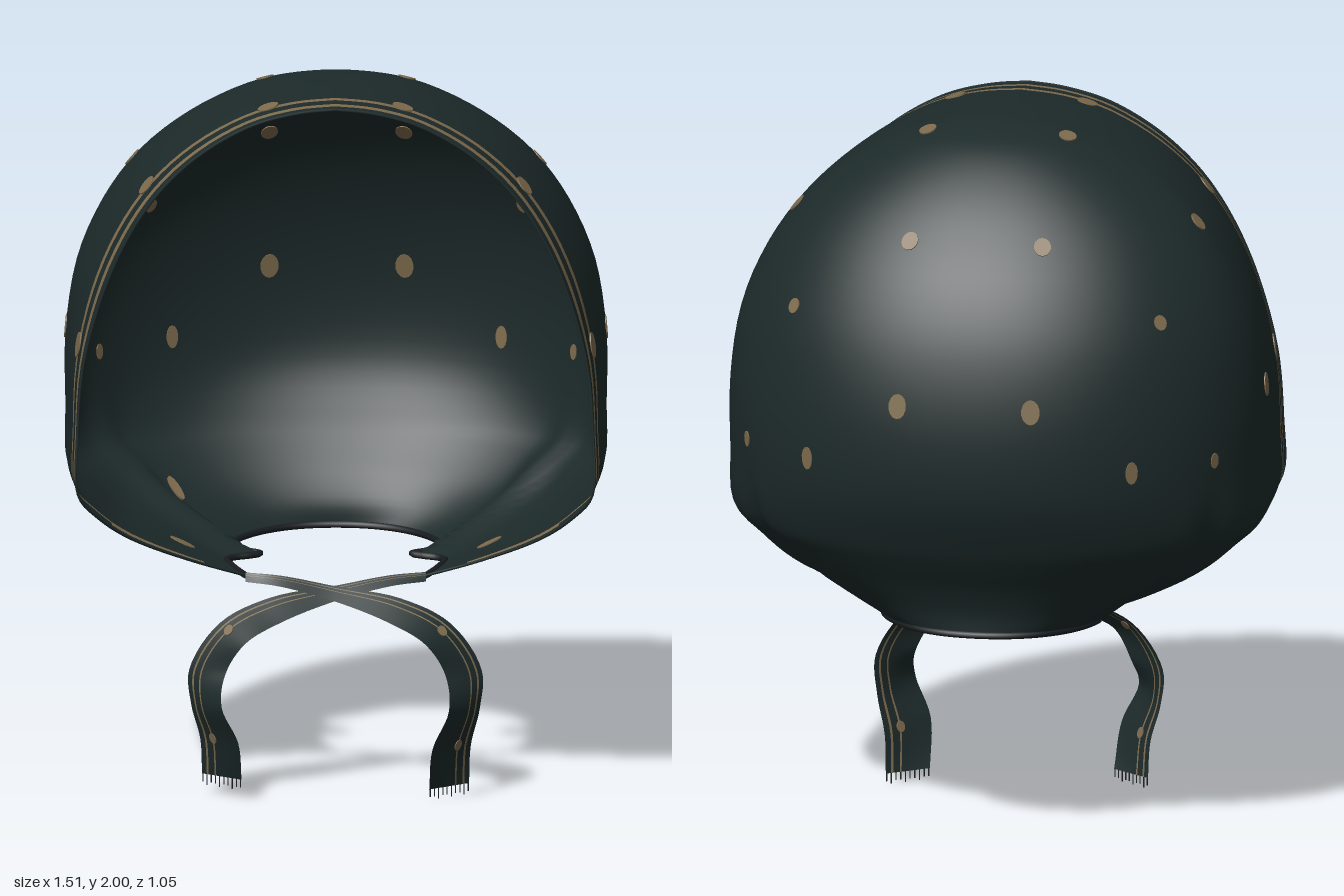
import * as THREE from 'three';
import { mergeVertices } from 'three/addons/utils/BufferGeometryUtils.js';

const { smoothstep } = THREE.MathUtils;
const make = (name, color) => {
  const m = new THREE.MeshStandardMaterial({ color, side: THREE.DoubleSide });
  m.name = name;
  return m;
};

// Hood levels: y, half width at front rim, widest half width, z of rim, z of widest point, z of back
const LEVELS = [
  [0.60, 0.25, 0.31, 0.24, 0.00, -0.32],
  [0.66, 0.40, 0.43, 0.31, 0.02, -0.325],
  [0.74, 0.56, 0.58, 0.40, 0.04, -0.36],
  [0.82, 0.66, 0.675, 0.475, 0.05, -0.41],
  [0.90, 0.715, 0.745, 0.52, 0.05, -0.455],
  [1.05, 0.715, 0.75, 0.515, 0.05, -0.515],
  [1.25, 0.70, 0.75, 0.51, 0.05, -0.52],
  [1.45, 0.65, 0.72, 0.51, 0.05, -0.48],
  [1.62, 0.58, 0.65, 0.51, 0.06, -0.405],
  [1.76, 0.49, 0.55, 0.51, 0.07, -0.305],
  [1.87, 0.375, 0.42, 0.51, 0.09, -0.20],
  [1.95, 0.24, 0.27, 0.51, 0.10, -0.09],
  [1.988, 0.11, 0.135, 0.51, 0.11, 0.02],
  [2.00, 0.00, 0.00, 0.51, 0.13, 0.10],
];

function levelAt(t) {
  const n = LEVELS.length - 1, i = Math.min(Math.floor(t), n - 1), f = t - i;
  const row = (k) => LEVELS[Math.max(0, Math.min(n, k))];
  return LEVELS[0].map((_, c) => {
    const [a, b, d, e] = [row(i - 1)[c], row(i)[c], row(i + 1)[c], row(i + 2)[c]];
    return b + 0.5 * f * (d - a + f * (2 * a - 5 * b + 4 * d - e + f * (3 * (b - d) + e - a)));
  });
}

// One U-shaped section of the hood, from the left front rim round the back to the right
const STRIPE_STEPS = [0, 0.033, 0.056, 0.092, 0.114];
const SIDE_STEPS = 10, BACK_STEPS = 28;
function hoodRow(t) {
  const [y, r, w, zf, zc, zb] = levelAt(t);
  const half = [];
  const side = (z) => {
    const f = (zf - z) / (zf - zc);
    half.push([r + (w - r) * Math.sin(f * Math.PI / 2), z]);
  };
  // the printed stripes close in on the rim below the jaw corner
  const squeeze = 0.3 + 0.7 * smoothstep(y, 0.6, 0.9);
  STRIPE_STEPS.forEach((d) => side(zf - d * squeeze));
  const start = zf - STRIPE_STEPS[4] * squeeze;
  for (let i = 1; i <= SIDE_STEPS; i++) side(start + (zc - start) * i / SIDE_STEPS);
  for (let i = 1; i <= BACK_STEPS; i++) {
    const a = i / BACK_STEPS * Math.PI / 2;
    const x = i === BACK_STEPS ? 0 : w * Math.cos(a) ** 0.94;
    half.push([x, zc + (zb - zc) * Math.sin(a)]);
  }
  // a pleat runs up each side from the neck, the neck tilts and the crown dips to the rim
  const pleatZ = -0.24 * (1 - Math.exp((0.6 - y) / 0.15));
  const pleat = 0.1 * Math.max(0, 1 - (y - 0.6) / 0.55) ** 2;
  const tilt = 0.03 * (1 - smoothstep(y, 0.6, 0.9)), dip = 0.12 * smoothstep(y, 1, 2);
  const point = (s) => ([x, z]) => new THREE.Vector3(
    s * (x - pleat * Math.exp(-(((z - pleatZ) / 0.035) ** 2)) * Math.min(1, x / 0.2)),
    y + tilt * (0.24 - z) - dip * Math.max(0, z - 0.16) ** 2, z);
  return [...half.map(point(1)), ...half.slice(0, -1).reverse().map(point(-1))];
}

// Cloth surface from rows of points; stripe cells use the second material
function cloth(rows, isStripe) {
  const nc = rows[0].length, parts = [[], []];
  for (let i = 0; i < rows.length - 1; i++) {
    for (let j = 0; j < nc - 1; j++) {
      const a = i * nc + j, b = a + 1, c = a + nc, d = c + 1;
      parts[isStripe(j, i) ? 1 : 0].push(a, b, c, b, d, c);
    }
  }
  let g = new THREE.BufferGeometry().setFromPoints(rows.flat());
  g.setIndex([...parts[0], ...parts[1]]);
  g = mergeVertices(g, 1e-5);
  g.clearGroups();
  g.addGroup(0, parts[0].length, 0);
  g.addGroup(parts[0].length, parts[1].length, 1);
  g.computeVertexNormals();
  return g;
}

export function createModel() {
  const model = new THREE.Group();
  const green = make('darkGreenCloth', 0x1d2a2a);
  const tan = make('tanPrint', 0x7e6b4d);
  const dark = make('darkHem', 0x181c20);
  const add = (name, geo, mat) => {
    const m = new THREE.Mesh(geo, mat);
    m.name = name;
    model.add(m);
    return m;
  };
  const addDot = (name, p, n, r, stretch = 1.15) => {
    const m = add(name, new THREE.CylinderGeometry(r, r, 0.006, 14), tan);
    m.position.copy(p);
    const up = Math.abs(n.y) > 0.95 ? new THREE.Vector3(0, 0, 1) : new THREE.Vector3(0, 1, 0);
    const sx = new THREE.Vector3().crossVectors(n, up).normalize();
    const sz = new THREE.Vector3().crossVectors(sx, n);
    m.quaternion.setFromRotationMatrix(new THREE.Matrix4().makeBasis(sx, n, sz));
    m.scale.set(1, 1, stretch);
  };

  // Hood with two printed stripes along the front rim; the outer one stops at the jaw corner
  const rows = [], STEPS = (LEVELS.length - 1) * 4;
  for (let i = 0; i <= STEPS; i++) rows.push(hoodRow(i / 4));
  const last = rows[0].length - 2;
  const striped = (j, i) => {
    const k = Math.min(j, last - j);
    return (k === 1 && i >= 15) || (k === 3 && i >= 3) || (k === 2 && i >= 3 && i <= 9);
  };
  const hood = add('hood', cloth(rows, striped), [green, tan]);
  hood.updateMatrixWorld();

  // Printed dots, dropped onto the hood from inside: x, y, z, radius, stretch
  const origin = new THREE.Vector3(0, 1.2, 0.1);
  const dropDot = (x, y, z, r, stretch, inset = 0) => {
    const dir = new THREE.Vector3(x, y, z).sub(origin).normalize();
    const hit = new THREE.Raycaster(origin, dir).intersectObject(hood)[0];
    if (hit) addDot('hoodDot', hit.point.addScaledVector(dir, -inset), hit.face.normal, r, stretch);
  };
  const spots = [
    [0.195, 1.96, 0.03, 0.025], [0.565, 1.74, 0.025, 0.024], [0.195, 1.76, -0.325, 0.024],
    [0.515, 1.53, -0.29, 0.019], [0.74, 1.27, 0.07, 0.026, 1.3], [0.185, 1.31, -0.49, 0.026, 1.35],
    [0.445, 1.13, -0.40, 0.018, 1.8], [0.63, 1.13, -0.22, 0.014, 1.6], [0.42, 0.67, 0.11, 0.02, 1.9],
    [0.185, 1.96, 0.392, 0.03, 1], [0.52, 1.74, 0.392, 0.03, 1], [0.70, 1.29, 0.392, 0.03, 1.2],
  ];
  for (const [x, y, z, r, stretch] of spots) {
    dropDot(x, y, z, r, stretch);
    dropDot(-x, y, z, r, stretch);
  }
  // one dot caught in a fold, seen from inside only
  dropDot(-0.45, 0.74, -0.21, 0.014, 3, 0.006);

  // Rolled hems round the neck and the front rim
  const hem = (name, pts, r, mat) =>
    add(name, new THREE.TubeGeometry(new THREE.CatmullRomCurve3(pts), 180, r, 6), mat);
  hem('neckHem', rows[0], 0.01, dark);
  const rim = rows.map((row) => row[0]);
  const rimRight = rows.slice(0, -1).reverse().map((row) => row[last + 1]);
  hem('frontHem', [...rim, ...rimRight], 0.004, green);

  // Crossed chin ties with fringed ends
  const outer = [[-0.25, 0.61, 0.24], [-0.15, 0.605, 0.26], [0, 0.58, 0.28], [0.18, 0.555, 0.32], [0.32, 0.49, 0.35],
    [0.405, 0.36, 0.355], [0.40, 0.25, 0.35], [0.375, 0.14, 0.33], [0.37, 0.03, 0.32]];
  const inner = [[-0.25, 0.585, 0.25], [-0.15, 0.58, 0.29], [0, 0.545, 0.32], [0.15, 0.50, 0.39], [0.25, 0.45, 0.44],
    [0.305, 0.36, 0.425], [0.315, 0.27, 0.48], [0.27, 0.16, 0.465], [0.26, 0.03, 0.40]];
  const ACROSS = [0, 0.12, 0.17, 0.32, 0.36, 0.7, 1];
  for (const s of [1, -1]) {
    const lift = s > 0 ? 0 : 0.025, push = s > 0 ? 0.008 : 0;
    const edge = (pts) => new THREE.CatmullRomCurve3(pts.map(([x, y, z], i) =>
      new THREE.Vector3(s * x, y + lift * Math.max(0, i - 5) / 3, z + push)));
    const a = edge(outer), b = edge(inner);
    const at = (u, v) => a.getPoint(u).lerp(b.getPoint(u), v);
    const strip = [];
    for (let i = 0; i <= 48; i++) strip.push(ACROSS.map((v) => at(i / 48, v)));
    const name = s > 0 ? 'leftTie' : 'rightTie';
    add(name, cloth(strip, (j) => j === 1 || j === 3), [green, tan]);
    for (const u of [0.5, 0.87]) {
      const p = at(u, 0.35);
      const n = at(u + 0.01, 0.35).sub(p).cross(at(u, 0.45).sub(p)).normalize();
      addDot('tieDot', p, n, 0.014);
    }
    for (let i = 0; i <= 9; i++) {
      const len = i % 3 === 1 ? 0.03 : 0.022;
      const thread = add('fringeThread', new THREE.BoxGeometry(0.003, len, 0.003), dark);
      thread.position.copy(at(1, 0.02 + i * 0.106));
      thread.position.y -= len / 2;
    }
  }
  return model;
}
